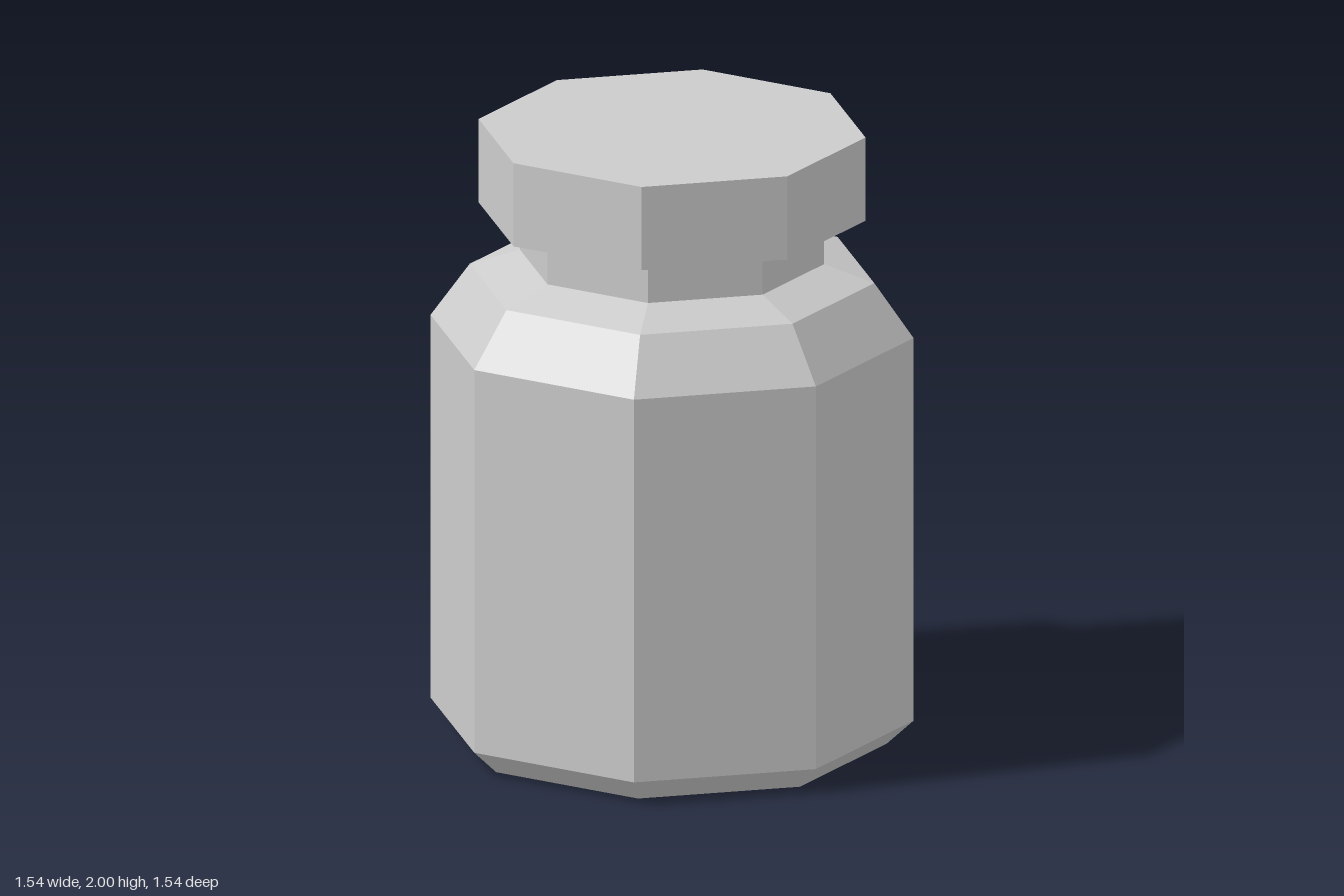
import * as THREE from 'three';

const SIDES = 8;

// Faceted solid of revolution from [radius, height] pairs, bottom to top
function facetedPart(name, profile, material) {
  const points = profile.map(([r, y]) => new THREE.Vector2(r, y));
  const mesh = new THREE.Mesh(new THREE.LatheGeometry(points, SIDES), material);
  mesh.name = name;
  return mesh;
}

export function createModel() {
  const group = new THREE.Group();
  group.name = 'jar';
  const material = new THREE.MeshStandardMaterial({ color: 0xcccccc, flatShading: true });

  // Body with bevelled foot, sloping shoulder and narrow neck
  group.add(facetedPart('body', [
    [0, 0], [0.685, 0], [0.77, 0.08], [0.77, 1.345],
    [0.645, 1.52], [0.485, 1.575], [0.485, 1.725],
  ], material));

  // Overhanging lid
  group.add(facetedPart('lid', [
    [0, 1.725], [0.617, 1.725], [0.617, 2], [0, 2],
  ], material));

  return group;
}
